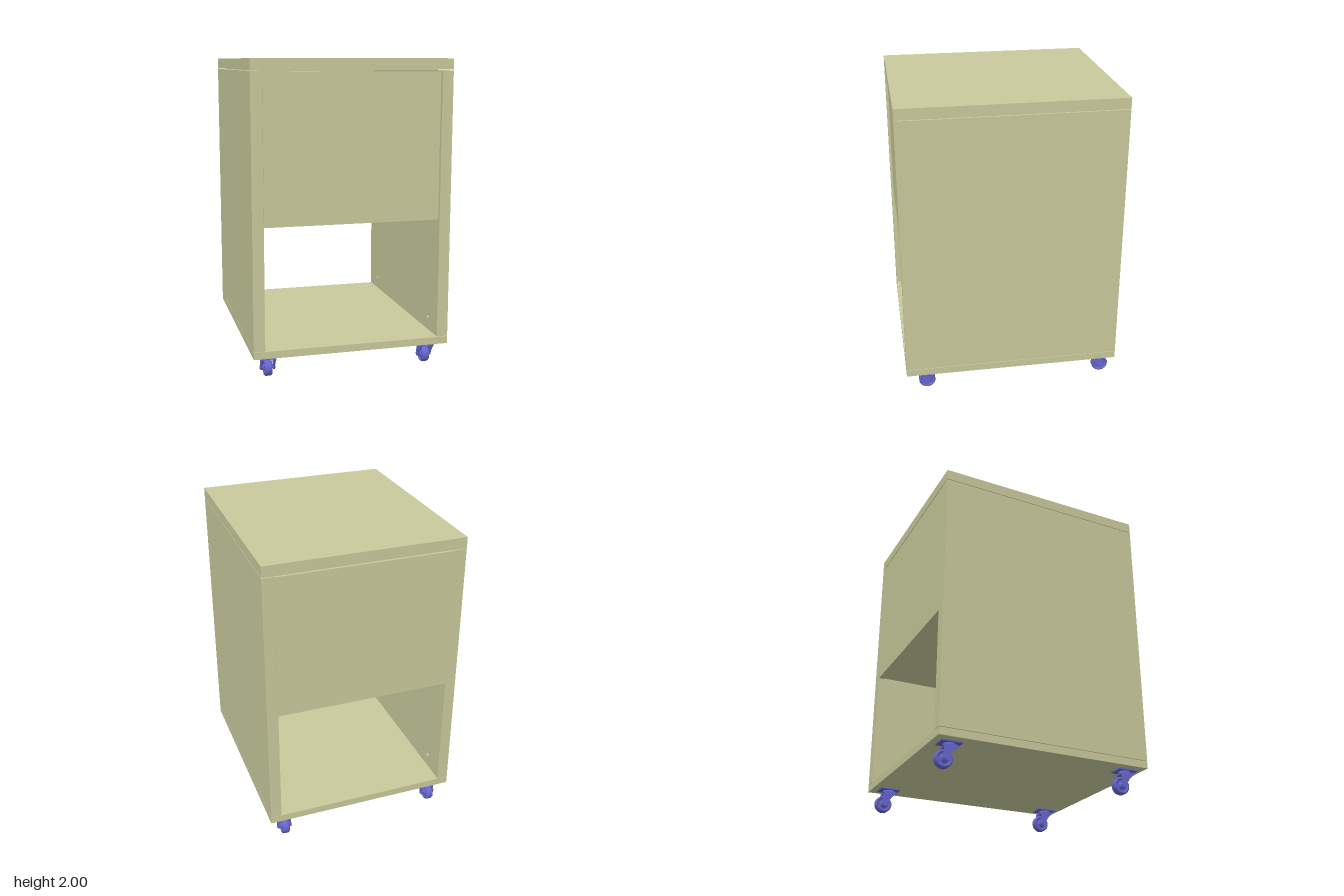
import * as THREE from 'three';

const wood = new THREE.MeshStandardMaterial({ color: 0xc8c99b });
wood.name = 'pale wood';
const blue = new THREE.MeshStandardMaterial({ color: 0x6666cc });
blue.name = 'caster blue';

function add(parent, name, geometry, material, x = 0, y = 0, z = 0) {
  const mesh = new THREE.Mesh(geometry, material);
  mesh.name = name;
  mesh.position.set(x, y, z);
  parent.add(mesh);
  return mesh;
}

// Box given by its lower and upper corners
function board(parent, name, [x0, y0, z0], [x1, y1, z1]) {
  return add(parent, name, new THREE.BoxGeometry(x1 - x0, y1 - y0, z1 - z0), wood,
    (x0 + x1) / 2, (y0 + y1) / 2, (z0 + z1) / 2);
}

// Side panel: plain outer layer and an inner layer with two blind holes
function sidePanel(side) {
  const group = new THREE.Group();
  group.name = side > 0 ? 'leftSide' : 'rightSide';
  const outer = [0.615 * side, 0.64 * side].sort((a, b) => a - b);
  board(group, 'sideOuterLayer', [outer[0], 0.21, -0.71], [outer[1], 1.926, 0.71]);

  const shape = new THREE.Shape([
    new THREE.Vector2(-0.71, 0.21), new THREE.Vector2(0.71, 0.21),
    new THREE.Vector2(0.71, 1.926), new THREE.Vector2(-0.71, 1.926),
  ]);
  for (const z of [-0.54, 0.54]) {
    shape.holes.push(new THREE.Path().absarc(z, 0.3, 0.014, 0, Math.PI * 2, true));
  }
  const layer = new THREE.ExtrudeGeometry(shape, { depth: 0.047, bevelEnabled: false, curveSegments: 12 });
  layer.rotateY(Math.PI / 2);
  add(group, 'sideInnerLayer', layer, wood, side > 0 ? 0.568 : -0.615);
  return group;
}

// Swivel caster, its origin on the mounting axis at floor level
function caster() {
  const group = new THREE.Group();
  group.name = 'caster';
  const axleZ = -0.035, axleY = 0.055;

  add(group, 'mountingPlate', new THREE.BoxGeometry(0.105, 0.008, 0.135), blue, 0, 0.156, 0);
  add(group, 'swivelBearing', new THREE.CylinderGeometry(0.036, 0.042, 0.014, 24), blue, 0, 0.145, 0);
  add(group, 'forkCrown', new THREE.BoxGeometry(0.088, 0.009, 0.075), blue, 0, 0.134, 0.003);

  // Fork arms slant back from the crown to the axle
  const arm = new THREE.Shape();
  arm.moveTo(-0.04, 0.139);
  arm.lineTo(0.042, 0.139);
  arm.lineTo(0.038, 0.122);
  arm.quadraticCurveTo(0.005, 0.105, -0.016, 0.047);
  arm.quadraticCurveTo(-0.035, 0.03, -0.053, 0.047);
  arm.quadraticCurveTo(-0.05, 0.1, -0.04, 0.139);
  const armGeometry = new THREE.ExtrudeGeometry(arm, { depth: 0.008, bevelEnabled: false, curveSegments: 8 });
  armGeometry.rotateY(-Math.PI / 2);
  for (const x of [-0.036, 0.044]) add(group, 'forkArm', armGeometry, blue, x);

  // Wheel with rounded tread, recessed web and raised hub
  const half = [[0.012, 0.03], [0.02, 0.03], [0.021, 0.014], [0.04, 0.014], [0.041, 0.025], [0.05, 0.024], [0.055, 0.015]];
  const profile = [
    ...half.map(([r, w]) => new THREE.Vector2(r, -w)),
    ...half.slice().reverse().map(([r, w]) => new THREE.Vector2(r, w)),
  ];
  const wheel = new THREE.LatheGeometry(profile, 32);
  wheel.rotateZ(Math.PI / 2);
  add(group, 'wheel', wheel, blue, 0, axleY, axleZ);

  const axle = new THREE.CylinderGeometry(0.009, 0.009, 0.096, 16);
  axle.rotateZ(Math.PI / 2);
  add(group, 'axle', axle, blue, 0, axleY, axleZ);
  const nut = new THREE.CylinderGeometry(0.013, 0.013, 0.006, 6);
  nut.rotateZ(Math.PI / 2);
  for (const x of [-0.046, 0.046]) add(group, 'axleNut', nut, blue, x, axleY, axleZ);
  return group;
}

export function createModel() {
  const model = new THREE.Group();
  model.name = 'rollingCabinet';

  // Carcass
  board(model, 'topBoard', [-0.64, 1.93, -0.71], [0.64, 2, 0.71]);
  board(model, 'bottomBoard', [-0.64, 0.16, -0.71], [0.64, 0.207, 0.71]);
  for (const side of [-1, 1]) model.add(sidePanel(side));

  // Closed upper compartment above the open bay
  board(model, 'drawerFront', [-0.564, 0.985, 0.65], [0.564, 1.92, 0.695]);
  board(model, 'backPanel', [-0.567, 0.99, -0.71], [0.567, 1.922, -0.67]);
  board(model, 'shelf', [-0.567, 0.995, -0.668], [0.567, 1.04, 0.648]);

  // Four casters, all trailing the same way
  for (const x of [-0.53, 0.53]) {
    for (const z of [-0.6, 0.605]) {
      const wheelUnit = caster();
      wheelUnit.position.set(x, 0, z);
      model.add(wheelUnit);
    }
  }
  return model;
}
